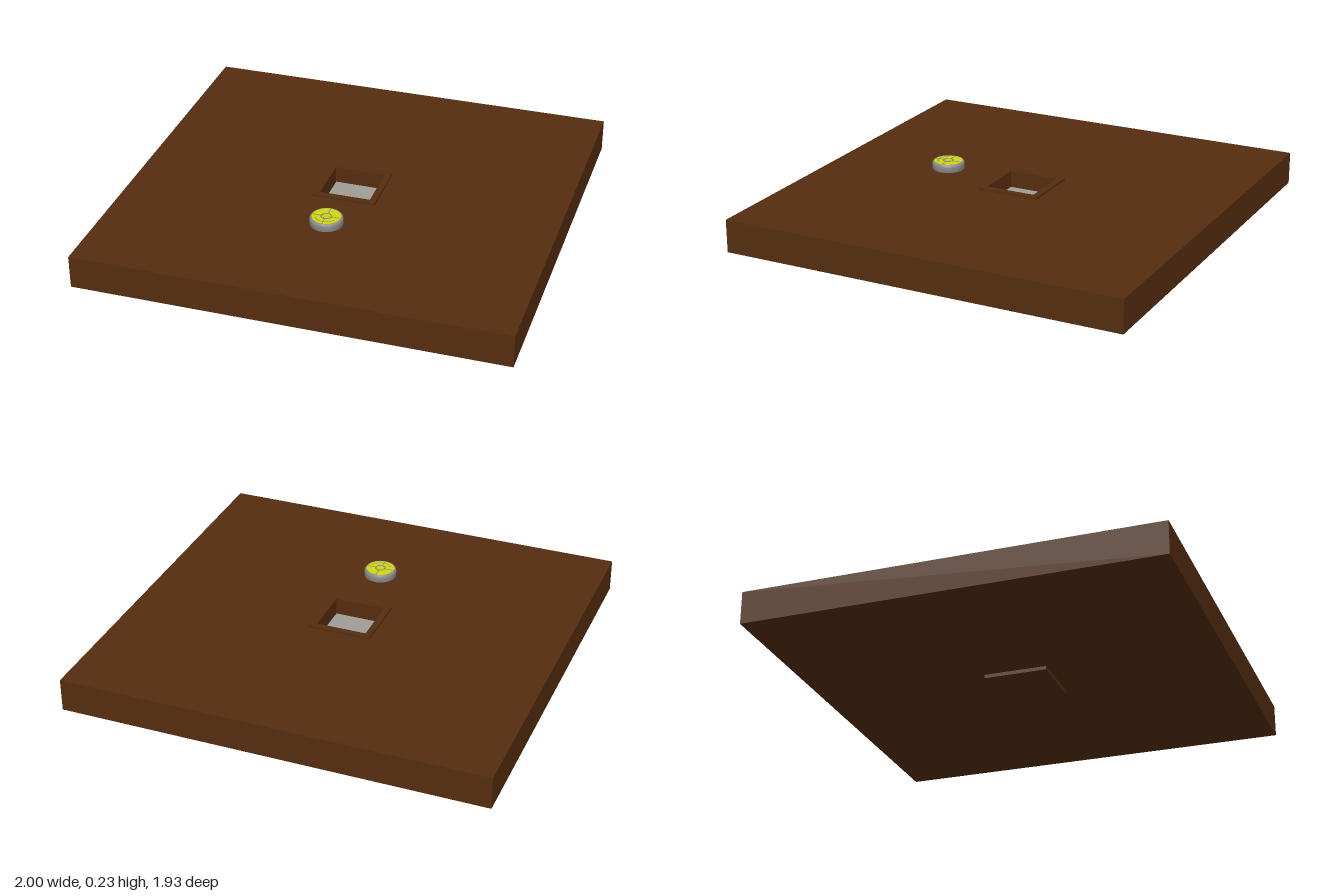
import * as THREE from 'three';

const mat = (name, color) => {
  const m = new THREE.MeshStandardMaterial({ color });
  m.name = name;
  return m;
};

// Flat-lying rectangular plate with a square hole, from y0 to y1
function holedPlate(halfX, halfZ, hole, y0, y1) {
  const rect = (T, a, b) => {
    const p = new T();
    p.moveTo(-a, -b);
    p.lineTo(a, -b);
    p.lineTo(a, b);
    p.lineTo(-a, b);
    p.closePath();
    return p;
  };
  const shape = rect(THREE.Shape, halfX, halfZ);
  shape.holes.push(rect(THREE.Path, hole, hole));
  const g = new THREE.ExtrudeGeometry(shape, { depth: y1 - y0, bevelEnabled: false });
  return g.rotateX(-Math.PI / 2).translate(0, y0, 0);
}

export function createModel() {
  const wood = mat('brown wood', 0x542d0f);
  const floorGrey = mat('floor grey', 0xa09d98);
  const metal = mat('metal grey', 0x8c8c8c);
  const yellow = mat('yellow', 0xd0d60c);

  const model = new THREE.Group();
  model.name = 'slabWithRecess';
  const add = (parent, name, geo, material, x = 0, y = 0, z = 0) => {
    const m = new THREE.Mesh(geo, material);
    m.name = name;
    m.position.set(x, y, z);
    parent.add(m);
    return m;
  };

  // Slab and the framed recess through its middle
  add(model, 'slab', holedPlate(1, 0.965, 0.14, 0.017, 0.172), wood);
  add(model, 'recessFrame', holedPlate(0.15, 0.15, 0.12, 0, 0.182), wood);
  add(model, 'recessBase', new THREE.BoxGeometry(0.24, 0.096, 0.24), wood, 0, 0.048, 0);
  add(model, 'recessFloor', new THREE.BoxGeometry(0.24, 0.006, 0.24), floorGrey, 0, 0.099, 0);

  // Small round device standing on the slab
  const device = new THREE.Group();
  device.name = 'roundDevice';
  device.position.set(0, 0.19, 0.392);
  model.add(device);

  // Body with rounded shoulder and a raised lip
  const profile = [
    [0, 0], [0.07, 0], [0.076, 0.004], [0.077, 0.028], [0.075, 0.036],
    [0.071, 0.041], [0.067, 0.041], [0.066, 0.037], [0, 0.037],
  ].map(([r, y]) => new THREE.Vector2(r, y));
  add(device, 'body', new THREE.LatheGeometry(profile, 32), metal);
  add(device, 'topPanel', new THREE.CylinderGeometry(0.067, 0.067, 0.004, 32), yellow, 0, 0.0385, 0);

  // Seams, centre ring and button on the top panel
  for (let i = 0; i < 4; i++) {
    const a = (i * Math.PI) / 2;
    const seam = add(device, 'panelSeam', new THREE.BoxGeometry(0.042, 0.002, 0.003), metal,
      Math.cos(a) * 0.045, 0.041, -Math.sin(a) * 0.045);
    seam.rotation.y = a;
  }
  const ring = add(device, 'centreRing', new THREE.TorusGeometry(0.023, 0.003, 6, 24), metal, 0, 0.041, 0);
  ring.rotation.x = Math.PI / 2;
  add(device, 'centreButton', new THREE.CylinderGeometry(0.012, 0.013, 0.005, 20), yellow, 0, 0.0425, 0);
  const arc = add(device, 'frontSeam', new THREE.TorusGeometry(0.05, 0.0015, 4, 20, Math.PI * 0.7), metal, 0, 0.041, 0);
  arc.rotation.set(Math.PI / 2, 0, Math.PI * 0.15);

  // Two drive wheels and a front caster under the body
  const wheel = new THREE.CylinderGeometry(0.009, 0.009, 0.01, 16).rotateZ(Math.PI / 2);
  for (const s of [-1, 1]) add(device, 'wheel', wheel, metal, s * 0.04, 0.002, 0.01);
  add(device, 'caster', new THREE.SphereGeometry(0.008, 12, 8), metal, 0, 0.001, 0.058);

  return model;
}
